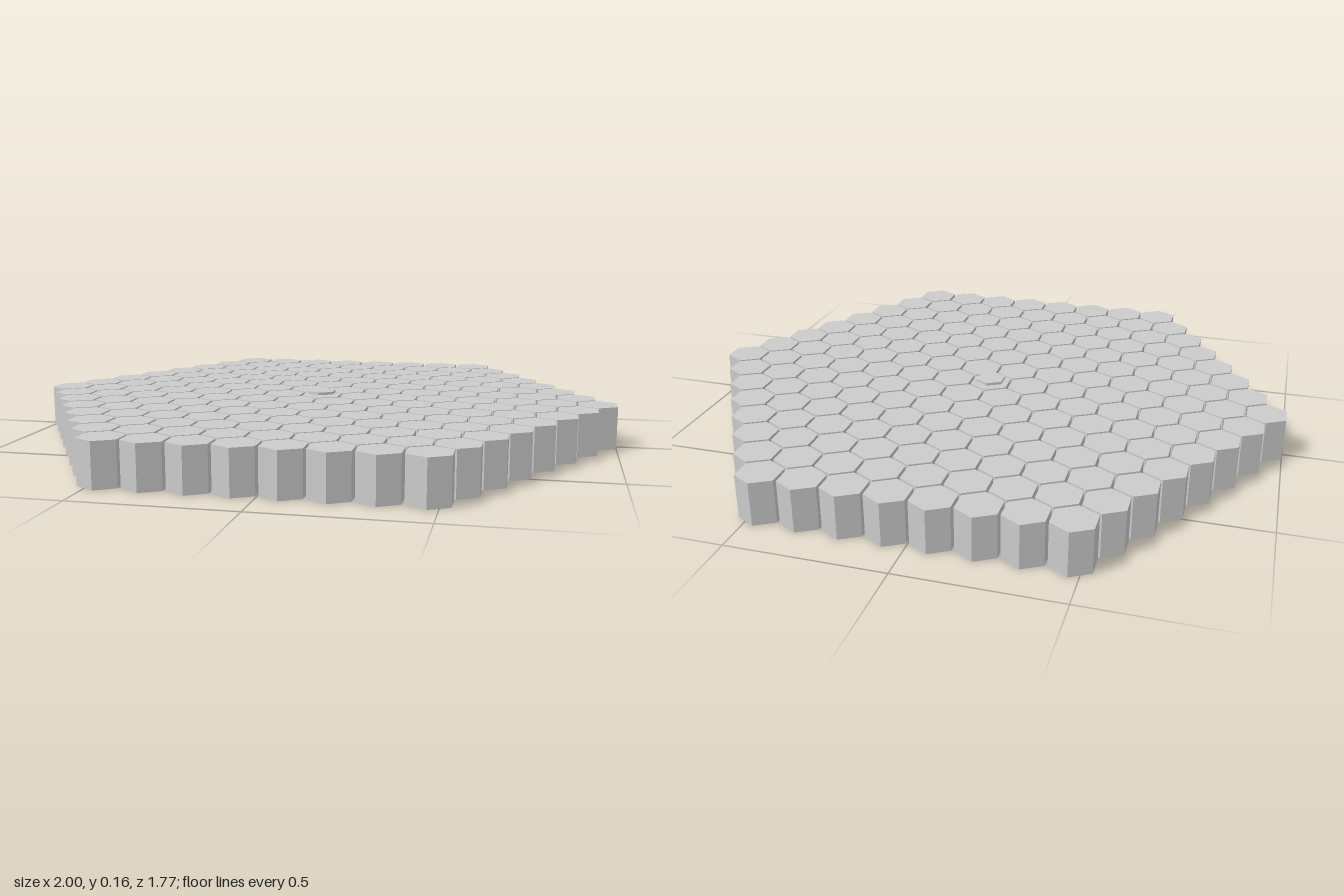
import * as THREE from 'three';

const RINGS = 7;          // tiles from the centre to each corner
const SPACING = 0.1339;   // distance between neighbouring tile centres
const TILE_RADIUS = 0.0722;
const TILE_HEIGHT = 0.141;

// Six-sided prism with corners pointing along z, standing on y = bottom
function hexPrism(radius, bottom, top) {
  const geometry = new THREE.CylinderGeometry(radius, radius, top - bottom, 6);
  return geometry.translate(0, (bottom + top) / 2, 0);
}

export function createModel() {
  const model = new THREE.Group();
  model.name = 'hexTileBoard';
  const material = new THREE.MeshStandardMaterial({ color: 0xcccccc, flatShading: true });

  // Board: rows of tiles that get shorter away from the middle row
  const tiles = new THREE.Group();
  tiles.name = 'tiles';
  model.add(tiles);
  const tileGeometry = hexPrism(TILE_RADIUS, 0, TILE_HEIGHT);
  for (let row = -RINGS; row <= RINGS; row++) {
    const count = 2 * RINGS + 1 - Math.abs(row);
    for (let i = 0; i < count; i++) {
      const tile = new THREE.Mesh(tileGeometry, material);
      tile.name = 'tile';
      tile.position.set((i - (count - 1) / 2) * SPACING, 0, row * SPACING * Math.sqrt(3) / 2);
      tiles.add(tile);
    }
  }

  // Thin marker hovering just above the centre tile
  const marker = new THREE.Mesh(hexPrism(0.051, 0.147, 0.156), material);
  marker.name = 'centreMarker';
  model.add(marker);

  return model;
}
